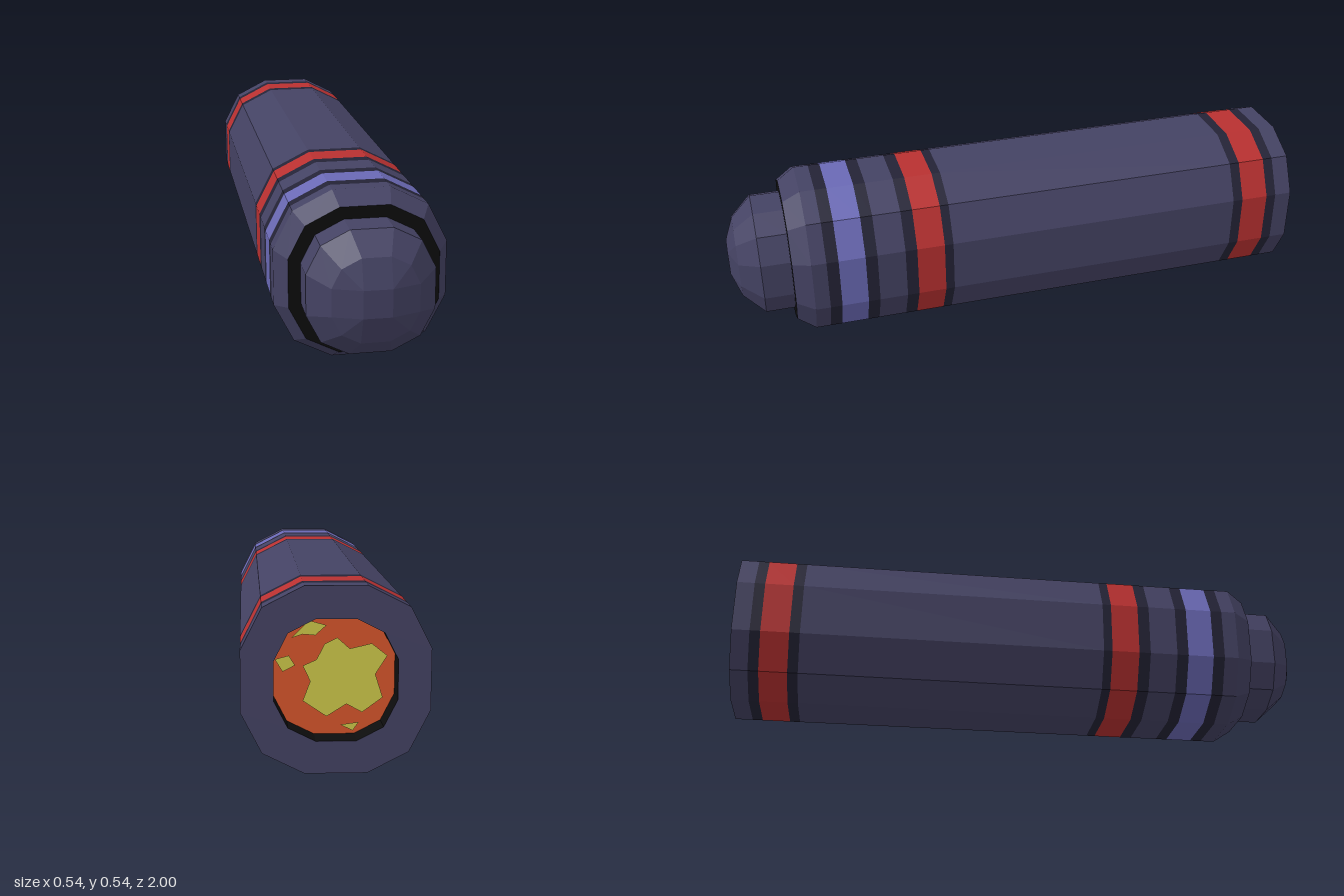
import * as THREE from 'three';

const mat = (name, color, side = THREE.FrontSide) => {
  const m = new THREE.MeshStandardMaterial({ color, side });
  m.name = name;
  return m;
};

// Twelve-sided cross-section, counter-clockwise seen from the front
const quarter = [[0.268, 0.089], [0.207, 0.209], [0.089, 0.269]];
const section = [];
for (let q = 0; q < 4; q++) {
  for (const [x, y] of quarter) {
    section.push([[x, y], [-y, x], [-x, -y], [y, -x]][q]);
  }
}
const ring = (z, s) => section.map(([x, y]) => new THREE.Vector3(x * s, y * s, z));
// Square ring: each corner gathers three section points
const squareRing = (z, h) => section.map(([x, y]) => new THREE.Vector3(Math.sign(x) * h, Math.sign(y) * h, z));

// Flat-faced skin between successive rings
function skin(rings) {
  const pos = [];
  const tri = new THREE.Triangle();
  const add = (a, b, c) => {
    tri.set(a, b, c);
    if (tri.getArea() > 1e-7) for (const p of [a, b, c]) pos.push(p.x, p.y, p.z);
  };
  for (let k = 0; k + 1 < rings.length; k++) {
    const A = rings[k], B = rings[k + 1];
    for (let i = 0; i < 12; i++) {
      const j = (i + 1) % 12;
      add(A[i], A[j], B[j]);
      add(A[i], B[j], B[i]);
    }
  }
  const g = new THREE.BufferGeometry();
  g.setAttribute('position', new THREE.Float32BufferAttribute(pos, 3));
  g.computeVertexNormals();
  return g;
}

export function createModel() {
  const model = new THREE.Group();
  model.name = 'cartridge';
  const casing = mat('casing slate', 0x444263);
  const groove = mat('groove dark', 0x242336);
  const black = mat('black', 0x0d0d0d);
  const red = mat('band red', 0xb83030);
  const blue = mat('band blue', 0x6a69b5);
  const orange = mat('ember orange', 0xd8562b);
  const yellow = mat('ember yellow', 0xcfc94a, THREE.DoubleSide);

  const body = new THREE.Group();
  body.name = 'body';
  body.position.y = 0.269;
  model.add(body);
  const part = (name, material, geometry) => {
    const mesh = new THREE.Mesh(geometry, material);
    mesh.name = name;
    body.add(mesh);
    return mesh;
  };

  // Rear opening: glowing disc, dark wall, flat rim
  const bore = 0.65, floorZ = -0.92;
  part('emberDisc', orange, skin([ring(floorZ, 0), ring(floorZ, bore)]));
  part('boreWall', black, skin([ring(floorZ, bore), ring(-1, bore)]));
  part('rearRim', casing, skin([ring(-1, bore), ring(-1, 1)]));

  // Straight tube, split into coloured bands from rear to front
  const bands = [
    ['rearCasing', casing, -0.94], ['rearGrooveA', groove, -0.905], ['rearRedBand', red, -0.81],
    ['rearGrooveB', groove, -0.775], ['mainCasing', casing, 0.26], ['frontGrooveA', groove, 0.29],
    ['frontRedBand', red, 0.385], ['frontGrooveB', groove, 0.425], ['neckCasing', casing, 0.52],
    ['blueGrooveA', groove, 0.56], ['blueBand', blue, 0.65], ['blueGrooveB', groove, 0.69],
    ['frontCasing', casing, 0.74],
  ];
  let z = -1;
  for (const [name, material, end] of bands) {
    part(name, material, skin([ring(z, 1), ring(end, 1)]));
    z = end;
  }

  // Front bevel, black seat and domed tip
  part('frontBevel', casing, skin([ring(0.74, 1), ring(0.8, 0.86)]));
  part('tipSeat', black, skin([ring(0.8, 0.86), ring(0.8, 0.72)]));
  part('tip', casing, skin([
    ring(0.8, 0.72), ring(0.9, 0.72), ring(0.97, 0.485), squareRing(1, 0.043), ring(1, 0),
  ]));

  // Yellow patches on the ember disc, in disc radii as seen from the rear
  const patches = [
    [[-0.15, 0.5], [0.05, 0.6], [0.25, 0.42], [0.6, 0.5], [0.85, 0.3], [0.66, 0], [0.78, -0.38],
      [0.45, -0.62], [0.2, -0.48], [-0.12, -0.68], [-0.5, -0.42], [-0.38, -0.1], [-0.5, 0.15], [-0.28, 0.25]],
    [[-0.68, 0.6], [-0.4, 0.88], [-0.12, 0.8], [-0.3, 0.64], [-0.5, 0.66]],
    [[-0.94, 0.26], [-0.72, 0.32], [-0.62, 0.16], [-0.82, 0.06]],
    [[0.1, -0.82], [0.4, -0.78], [0.3, -0.92]],
  ];
  const R = 0.18;
  for (const points of patches) {
    const shape = new THREE.Shape(points.map(([u, v]) => new THREE.Vector2(-u * R, v * R)));
    part('emberPatch', yellow, new THREE.ShapeGeometry(shape)).position.z = floorZ - 0.004;
  }
  return model;
}
